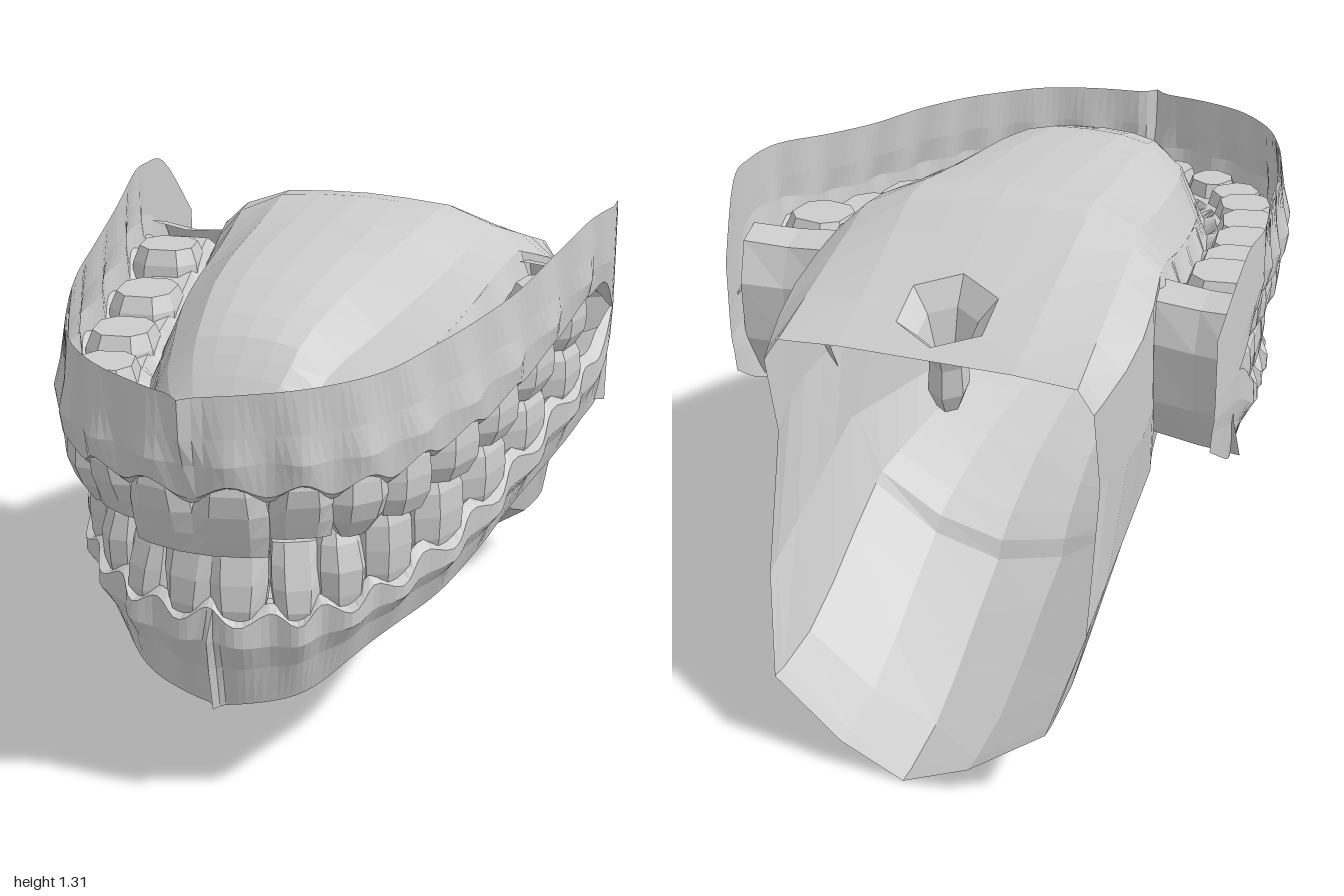
import * as THREE from 'three';

const grey = new THREE.MeshStandardMaterial({ color: 0xcccccc, flatShading: true, side: THREE.DoubleSide });

// Stations along half of the dental arch, from the front centre to the end of the cheek:
// x, z, top of gum, upper neck, bite, lower neck, bottom of gum, lower neck inset, bottom inset
const ARCH = [
  [0, .97, 1.14, .88, .73, .56, .27, .10, .17],
  [.18, .93, 1.15, .89, .74, .55, .29, .10, .16],
  [.32, .86, 1.16, .89, .75, .57, .33, .09, .15],
  [.43, .745, 1.17, .90, .78, .60, .40, .07, .14],
  [.50, .60, 1.19, .92, .81, .64, .44, .05, .13],
  [.56, .42, 1.21, .94, .84, .68, .47, .04, .12],
  [.60, .22, 1.23, .97, .87, .74, .52, .03, .11],
  [.63, 0, 1.27, 1.01, .92, .80, .58, .02, .10],
  [.66, -.20, 1.31, 1.07, .98, .87, .64, .01, .08],
  [.68, -.33, 1.31, 1.08, 1.0, .93, .70, 0, .06],
  [.67, -.44, 1.29, 1.0, 1.0, 1.0, .74, 0, .03],
  [.64, -.56, 1.12, .95, .95, .95, .82, 0, .01],
];
const LAST = ARCH.length - 1;
const CROWN = [.93, .97, 1.04, 1.12, 1.19, 1.24, 1.265, 1.28, 1.3, 1.28];
const FLOOR = [.5, .5, .49, .48, .48, .49, .47, .43, .35, .26];
const TOOTH_START = .55, TOOTH_STEP = 1.04;

const { lerp, clamp } = THREE.MathUtils;
const along = (list, t) => {
  const i = Math.min(Math.floor(t), list.length - 2);
  return lerp(list[i], list[i + 1], t - i);
};
// Width of the gum from its outer wall to its tongue side
const gumWidth = t => lerp(.2, .25, clamp(t / 4, 0, 1));

// Smooth value of one station column; the arch mirrors itself at t = 0
function station(t, col) {
  const at = i => i < 0 ? ARCH[-i][col] * (col === 0 ? -1 : 1) : ARCH[Math.min(i, LAST)][col];
  const i = Math.min(Math.floor(t), LAST - 1), f = t - i;
  const [a, b, c, d] = [at(i - 1), at(i), at(i + 1), at(i + 2)];
  return b + .5 * f * (c - a + f * (2 * a - 5 * b + 4 * c - d + f * (3 * (b - c) + d - a)));
}

// Point on the arch, moved inward by inset
function archPoint(t, inset, y) {
  const e = .05, t0 = Math.min(t, LAST - e);
  const dx = station(t0 + e, 0) - station(t0 - e, 0), dz = station(t0 + e, 1) - station(t0 - e, 1);
  const l = Math.hypot(dx, dz);
  const x = station(t, 0) + inset * dz / l;
  return [t === 0 ? 0 : x, y, station(t, 1) - inset * dx / l];
}

// Surface through rows of points; skip(i, j) leaves a hole
function sheet(rows, skip = () => false) {
  const pos = [];
  for (let i = 0; i + 1 < rows.length; i++)
    for (let j = 0; j + 1 < rows[i].length; j++) {
      if (skip(i, j)) continue;
      const [a, b, c, d] = [rows[i][j], rows[i + 1][j], rows[i + 1][j + 1], rows[i][j + 1]];
      pos.push(...a, ...b, ...c, ...a, ...c, ...d);
    }
  const g = new THREE.BufferGeometry();
  g.setAttribute('position', new THREE.Float32BufferAttribute(pos, 3));
  g.computeVertexNormals();
  return g;
}
const flip = ([x, y, z]) => [-x, y, z];

function add(group, name, geometry) {
  const m = new THREE.Mesh(geometry, grey);
  m.name = name;
  group.add(m);
}
function addPair(group, name, rows, skip = () => false) {
  const n = rows[0].length - 2;
  add(group, name + 'Left', sheet(rows, skip));
  add(group, name + 'Right', sheet(rows.map(r => r.map(flip).reverse()), (i, j) => skip(i, n - j)));
}

// Gum profile across the arch: outer wall, scalloped neck, ledge and inner side
function gumRow(t, upper) {
  const phase = Math.cos((t - TOOTH_START) / TOOTH_STEP * Math.PI * 2);
  const wave = phase * clamp(9 - t, 0, 1), lip = clamp(10.2 - t, 0, 1);
  const ridge = .03 * Math.exp(-((t / .12) ** 2));
  const dir = upper ? 1 : -1;
  const base = station(t, upper ? 3 : 5), neck = base + dir * wave * .018;
  const end = station(t, upper ? 2 : 6);
  const n = upper ? 0 : station(t, 7);
  const b = upper ? .03 * Math.sin(Math.PI * Math.min(t / 8.2, 1)) : station(t, 8);
  const room = Math.abs(end - base);
  const p = (inset, y) => archPoint(t, inset, y);
  const row = [
    p(b - ridge, end),
    p(lerp(n, b, .6) - wave * .006 - ridge, lerp(base, end, .6)),
    p(lerp(n, b, .15) - wave * .012 - ridge * .5, base + dir * Math.min(.09, room * .35)),
    p(n + (.01 - wave * .01) * lip, neck + dir * .02 * lip),
    p(n + .04 * lip, neck),
  ];
  if (t <= 9.4) {
    const w = n + gumWidth(t);
    row.push(p(n + .09, base + dir * .025), p(w - .06, base + dir * .025), p(w - .03, neck), p(w, base + dir * .08));
  }
  return row;
}

function buildGums(group, upper) {
  const full = [], cheek = [];
  for (let i = 0; i <= 72; i++) full.push(gumRow(9.36 * i / 72, upper));
  for (let i = 0; i <= 8; i++) cheek.push(gumRow(lerp(9.36, LAST, i / 8), upper).slice(0, 5));
  addPair(group, upper ? 'upperGum' : 'lowerGum', full);
  addPair(group, upper ? 'upperCheekFlap' : 'lowerCheekFlap', cheek);
}

// Faceted tooth from biting end to root, with squared corners and pitted molars
function toothGeometry(k, width, depth, height) {
  const g = new THREE.CylinderGeometry(1, 1, 1, 8, 4, false, Math.PI / 8);
  const p = g.attributes.position;
  const wide = k < 2 ? [.94, 1, 1, .88, .7] : k === 2 ? [.45, .88, 1, .92, .7] : [.78, .98, 1, .94, .74];
  const deep = k < 2 ? [.3, .6, .88, 1, .8] : k === 2 ? [.3, .75, 1, .95, .8] : [.72, .96, 1, .95, .78];
  const square = v => Math.sign(v) * Math.abs(v) ** .75 / 1.88;
  for (let i = 0; i < p.count; i++) {
    const x = p.getX(i), y = p.getY(i), z = p.getZ(i), r = Math.round((y + .5) * 4);
    const pit = k > 2 && r === 0 && Math.hypot(x, z) < .1 ? .025 : 0;
    p.setXYZ(i, square(x) * wide[r] * width, y * height + pit, square(z) * deep[r] * depth);
  }
  return g;
}

function buildTeeth(group, upper) {
  const names = ['CentralIncisor', 'LateralIncisor', 'Canine', 'FirstPremolar', 'SecondPremolar',
    'FirstMolar', 'SecondMolar', 'ThirdMolar'];
  names.forEach((name, k) => {
    const t = TOOTH_START + TOOTH_STEP * k;
    const depth = [.13, .13, .15, .17, .18, .19, .19, .19][k];
    const inset = (upper ? 0 : station(t, 7)) + .015 + depth / 2;
    const [x, , z] = archPoint(t, inset, 0);
    const front = inset - depth * .4;
    const a = archPoint(Math.max(.02, t - .52), front, 0), b = archPoint(t + .52, front, 0);
    const width = Math.hypot(b[0] - a[0], b[2] - a[2]) * (k < 3 ? 1 : 1.02);
    const dir = upper ? 1 : -1;
    const root = station(t, upper ? 3 : 5) + dir * .065;
    const bite = station(t, 4) + dir * [-.012, .025, -.012][Math.min(k, 2)];
    const geometry = toothGeometry(k, width, depth, Math.abs(root - bite));
    if (!upper) geometry.rotateZ(Math.PI);
    const angle = Math.atan2(-(b[2] - a[2]), b[0] - a[0]);
    for (const s of [1, -1]) {
      const m = new THREE.Mesh(geometry, grey);
      m.name = (upper ? 'upper' : 'lower') + name + (s > 0 ? 'Left' : 'Right');
      m.position.set(s * x, (root + bite) / 2, z);
      m.rotation.y = s * angle;
      group.add(m);
    }
  });
}

// Palate, mouth floor and open throat, as half sections from crown to floor centre
function buildInnerMouth(group) {
  const rows = [];
  for (let t = 0; t <= 9; t += .5) {
    const c = along(CROWN, t), f = along(FLOOR, t);
    const [w, ey, z] = archPoint(t, gumWidth(t), station(t, 3) + .08);
    const [v, ly, lz] = archPoint(t, gumWidth(t) + station(t, 7), station(t, 5) - .08);
    const W = Math.max(w, 0), V = Math.max(v, 0), top = Math.max(c, ey);
    rows.push([
      [0, top, z], [Math.min(.11, W * .3), top - .004, z], [W * .54, lerp(top, ey, .1), z],
      [W * .84, lerp(top, ey, .48), z], [W, ey, z],
      [V, ly, lz], [V * .97, lerp(ly, f, .4), lz], [V * .82, lerp(ly, f, .72), lz],
      [V * .42, lerp(ly, f, .92), lz], [0, f, lz],
    ]);
  }
  const open = rows.length - 1, start = rows[open];
  const rim = [[0, 1.07, -.8], [.11, 1.07, -.8], [.22, 1.07, -.8], [.38, 1.06, -.8], [.42, 1.0, -.8],
    [.42, .78, -.75], [.42, .42, -.84], [.36, .2, -.96], [.17, .07, -.99], [0, 0, -1]];
  for (const s of [.22, .45, .68, .92, 1])
    rows.push(start.map((p, j) => {
      const q = p.map((v, k) => lerp(v, rim[j][k], s));
      if (j > 6) q[1] = Math.max(0, q[1] - .06 * Math.sin(Math.PI * s ** 1.5));
      if (j === 4 || j === 5) q[0] += .03 * Math.sin(Math.PI * s);
      return q;
    }));

  // six-sided hole for the uvula; the tooth gap also stays open at the sides
  const hole = open + 2;
  const [a, b, c] = [rows[hole], rows[hole + 1], rows[hole + 2]];
  const cz = b[0][2];
  for (const end of [a, c]) {
    end[1][2] = lerp(cz, end[1][2], .5);
    end[1][1] = lerp(b[1][1], end[1][1], .5);
  }
  addPair(group, 'mouthLining', rows, (i, j) => (j === 4 && i < open) || (j === 0 && (i === hole || i === hole + 1)));

  const ring = [a[0], a[1], c[1], c[0], flip(c[1]), flip(a[1]), a[0]];
  const uvula = [[1, 0], [.6, .05], [.38, .13], [.42, .2], [.25, .25], [0, .26]].map(([k, drop]) =>
    ring.map(([x, y, z]) => [x * k, lerp(b[0][1], y, k) - drop, cz + (z - cz) * k]));
  add(group, 'uvula', sheet(uvula));

  // web joining the cheek to the throat wall and closing the gum behind the last tooth
  const web = [[.74, -.36, 9.7], [.86, -.42, 10.1], [1.02, -.43, 10.2], [1.12, -.4, 9.8], [1.14, -.31, 9.1]]
    .map(([y, z, t]) => {
      const outer = archPoint(t, .01, y);
      return [[.43, y, z], [.55, y - .01, (z + outer[2]) / 2 + .01], outer];
    });
  addPair(group, 'cheekWeb', web);
}

export function createModel() {
  const model = new THREE.Group();
  model.name = 'mouth';
  for (const upper of [true, false]) {
    const jaw = new THREE.Group();
    jaw.name = upper ? 'upperJaw' : 'lowerJaw';
    buildGums(jaw, upper);
    buildTeeth(jaw, upper);
    model.add(jaw);
  }
  const inner = new THREE.Group();
  inner.name = 'innerMouth';
  buildInnerMouth(inner);
  model.add(inner);
  return model;
}
